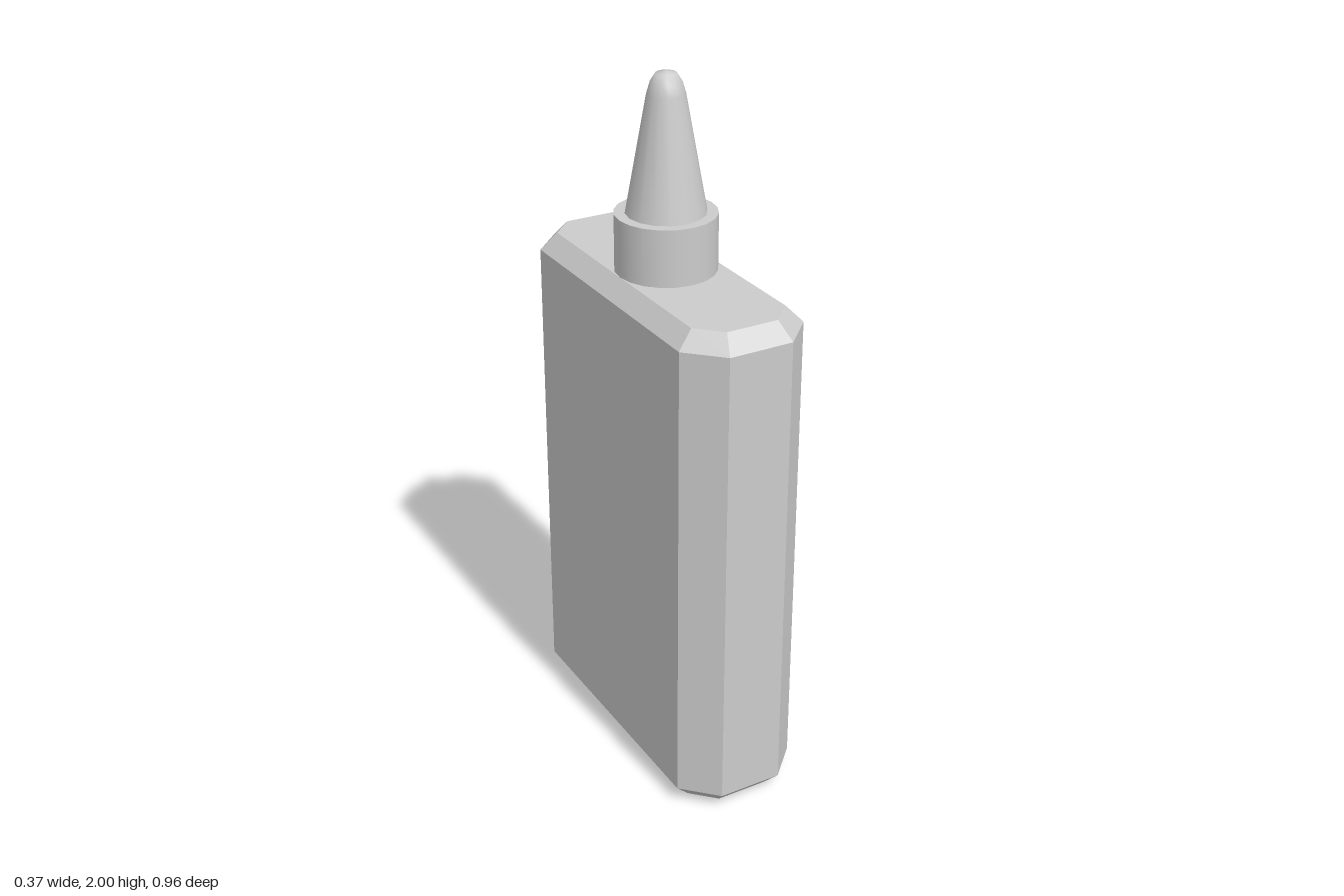
import * as THREE from 'three';

const material = new THREE.MeshStandardMaterial({ color: 0xcccccc });
const flatMaterial = new THREE.MeshStandardMaterial({ color: 0xcccccc, flatShading: true });

// Octagonal ring: two corner points mirrored into all four quadrants
function ring(y, [x1, z1], [x2, z2]) {
  return [[x1, z1], [x2, z2], [-x2, z2], [-x1, z1], [-x1, -z1], [-x2, -z2], [x2, -z2], [x1, -z1]]
    .map(([x, z]) => [x, y, z]);
}

// Skin a stack of rings (bottom to top) and close both ends
function loft(rings) {
  const positions = [];
  const tri = (...points) => points.forEach((p) => positions.push(...p));
  const n = rings[0].length;
  for (let r = 0; r < rings.length - 1; r++) {
    for (let i = 0; i < n; i++) {
      const j = (i + 1) % n;
      const a = rings[r][i], b = rings[r][j], c = rings[r + 1][j], d = rings[r + 1][i];
      tri(a, d, c);
      tri(a, c, b);
    }
  }
  const bottom = rings[0], top = rings[rings.length - 1];
  for (let i = 1; i < n - 1; i++) {
    tri(bottom[0], bottom[i], bottom[i + 1]);
    tri(top[0], top[i + 1], top[i]);
  }
  const geometry = new THREE.BufferGeometry();
  geometry.setAttribute('position', new THREE.Float32BufferAttribute(positions, 3));
  geometry.computeVertexNormals();
  return geometry;
}

function addPart(group, name, geometry, mat = material) {
  const mesh = new THREE.Mesh(geometry, mat);
  mesh.name = name;
  group.add(mesh);
  return mesh;
}

export function createModel() {
  const group = new THREE.Group();
  group.name = 'squeezeBottle';

  // Flat bottle body with cut corners and bevelled ends
  const inner = [[0.14, 0.37], [0.075, 0.435]];
  const outer = [[0.185, 0.388], [0.093, 0.48]];
  addPart(group, 'body', loft([
    ring(0, ...inner), ring(0.048, ...outer), ring(1.412, ...outer), ring(1.46, ...inner),
  ]), flatMaterial);

  // Cap collar
  addPart(group, 'collar', new THREE.CylinderGeometry(0.14, 0.14, 0.16, 20)).position.y = 1.54;

  // Tapered nozzle with a rounded tip
  const profile = [[0.11, 1.62], [0.052, 1.94], [0.043, 1.97], [0.028, 1.994], [0, 2]]
    .map(([r, y]) => new THREE.Vector2(r, y));
  addPart(group, 'nozzle', new THREE.LatheGeometry(profile, 16));

  return group;
}
